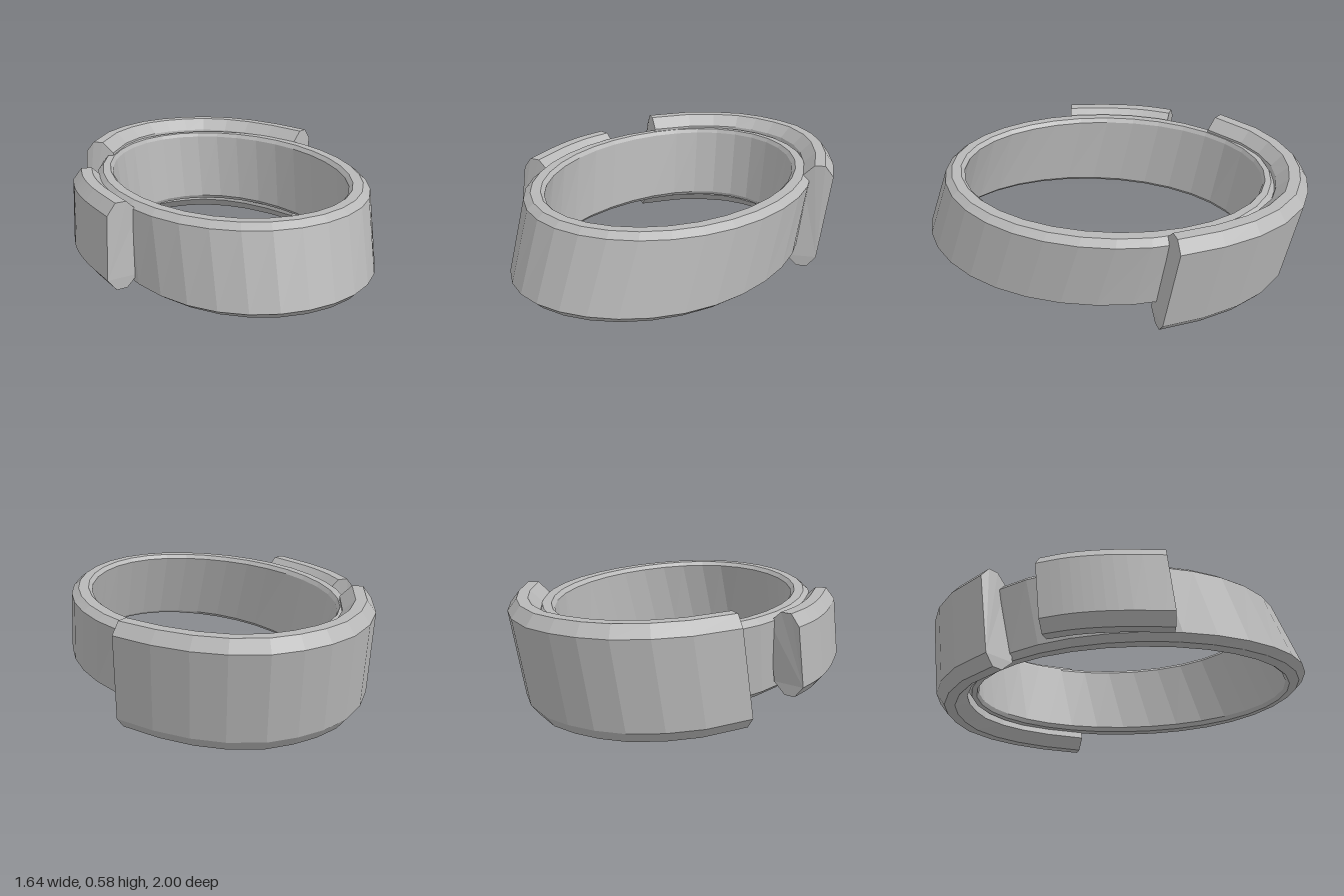
import * as THREE from 'three';

const SEGMENTS = 32;
const lerp = THREE.MathUtils.lerp;

// Skins a list of equal cross-sections; either closes into a loop or caps both ends
function skin(sections, closed) {
  const n = sections[0].length;
  const index = [];
  const count = closed ? sections.length : sections.length - 1;
  for (let i = 0; i < count; i++) {
    const k = (i + 1) % sections.length;
    for (let j = 0; j < n; j++) {
      const a = i * n + j, b = i * n + (j + 1) % n;
      const c = k * n + j, d = k * n + (j + 1) % n;
      index.push(a, b, c, b, d, c);
    }
  }
  if (!closed) {
    const end = (sections.length - 1) * n;
    for (let j = 1; j < n - 1; j++) {
      index.push(0, j + 1, j, end, end + j, end + j + 1);
    }
  }
  const geometry = new THREE.BufferGeometry();
  geometry.setAttribute('position', new THREE.Float32BufferAttribute(sections.flat(2), 3));
  geometry.setIndex(index);
  const flat = geometry.toNonIndexed();
  flat.computeVertexNormals();
  return flat;
}

// Slightly skewed ellipse: centre, half sizes and shear of x along z
function oval({ cx, cz, rx, rz, shear }, angle) {
  const z = rz * Math.sin(angle);
  return [cx + rx * Math.cos(angle) - shear * z, cz + z];
}

// Leaning oval band with chamfered rims
function bandGeometry() {
  const topOuter = { cx: 0.025, cz: 0.017, rx: 0.692, rz: 0.863, shear: 0.07 };
  const topInner = { cx: 0.02, cz: -0.004, rx: 0.588, rz: 0.782, shear: 0.07 };
  const lowOuter = { cx: 0, cz: 0.107, rx: 0.68, rz: 0.893, shear: 0.09 };
  const lowInner = { cx: 0.004, cz: 0.085, rx: 0.568, rz: 0.815, shear: 0.09 };
  // [inner to outer, bottom to top], each 0 to 1
  const profile = [[1, 0.07], [1, 0.93], [0.66, 1], [0.18, 1], [0, 0.95], [0, 0.05], [0.18, 0], [0.66, 0]];
  const sections = [];
  for (let i = 0; i < SEGMENTS; i++) {
    const angle = (i / SEGMENTS) * Math.PI * 2;
    const [to, ti, lo, li] = [topOuter, topInner, lowOuter, lowInner].map((o) => oval(o, angle));
    const front = Math.max(0, Math.sin(angle)) ** 4;
    sections.push(profile.map(([w, t]) => {
      const h = THREE.MathUtils.clamp((t - 0.07) / 0.86, 0, 1);
      const at = (k) => lerp(lerp(li[k], lo[k], w), lerp(ti[k], to[k], w), h);
      return [at(0), 0.093 + t * 0.415 + front * (0.008 * t + 0.03 * (1 - t) * w), at(1)];
    }));
  }
  return skin(sections, true);
}

// Chamfered bar following the band: path is its outer top edge, lean shifts its foot
function barGeometry(path, steps, bottom, top, lean, rise) {
  const curve = new THREE.SplineCurve(path.map(([x, z]) => new THREE.Vector2(x, z)));
  const c = 0.058;
  const profile = [
    [0, bottom + c], [0, top - c], [-0.045, top], [-0.1, top],
    [-0.16, top - c], [-0.16, bottom + c], [-0.1, bottom], [-0.045, bottom],
  ];
  const sections = [];
  for (let i = 0; i <= steps; i++) {
    const p = curve.getPoint(i / steps);
    const t = curve.getTangent(i / steps);
    sections.push(profile.map(([out, y]) => {
      const k = THREE.MathUtils.clamp((top - c - y) / (top - bottom - 2 * c), 0, 1);
      return [p.x + t.y * out + lean[0] * k, y + rise * (1 - i / steps), p.y - t.x * out + lean[1] * k];
    }));
  }
  return skin(sections, false);
}

export function createModel() {
  const model = new THREE.Group();
  model.name = 'ovalRing';
  const grey = new THREE.MeshStandardMaterial({ color: 0xb8b8b8, flatShading: true });
  grey.name = 'grey';

  const add = (name, geometry) => {
    const mesh = new THREE.Mesh(geometry, grey);
    mesh.name = name;
    model.add(mesh);
  };

  add('band', bandGeometry());

  // Tall bar wrapping the back and the left corner
  const backPath = [
    [-0.48, -0.69], [-0.3, -0.86], [-0.14, -0.95], [0.03, -1], [0.18, -1], [0.32, -0.97],
    [0.46, -0.91], [0.595, -0.79], [0.69, -0.65], [0.765, -0.475], [0.82, -0.265],
  ];
  add('backBar', barGeometry(backPath, 10, 0, 0.563, [-0.045, 0.06], 0.017));

  // Short bar on the right side
  const sidePath = [[-0.795, 0.205], [-0.785, -0.05], [-0.75, -0.25], [-0.69, -0.41]];
  add('sideBar', barGeometry(sidePath, 12, 0.1, 0.525, [-0.028, 0.03], 0));

  return model;
}
